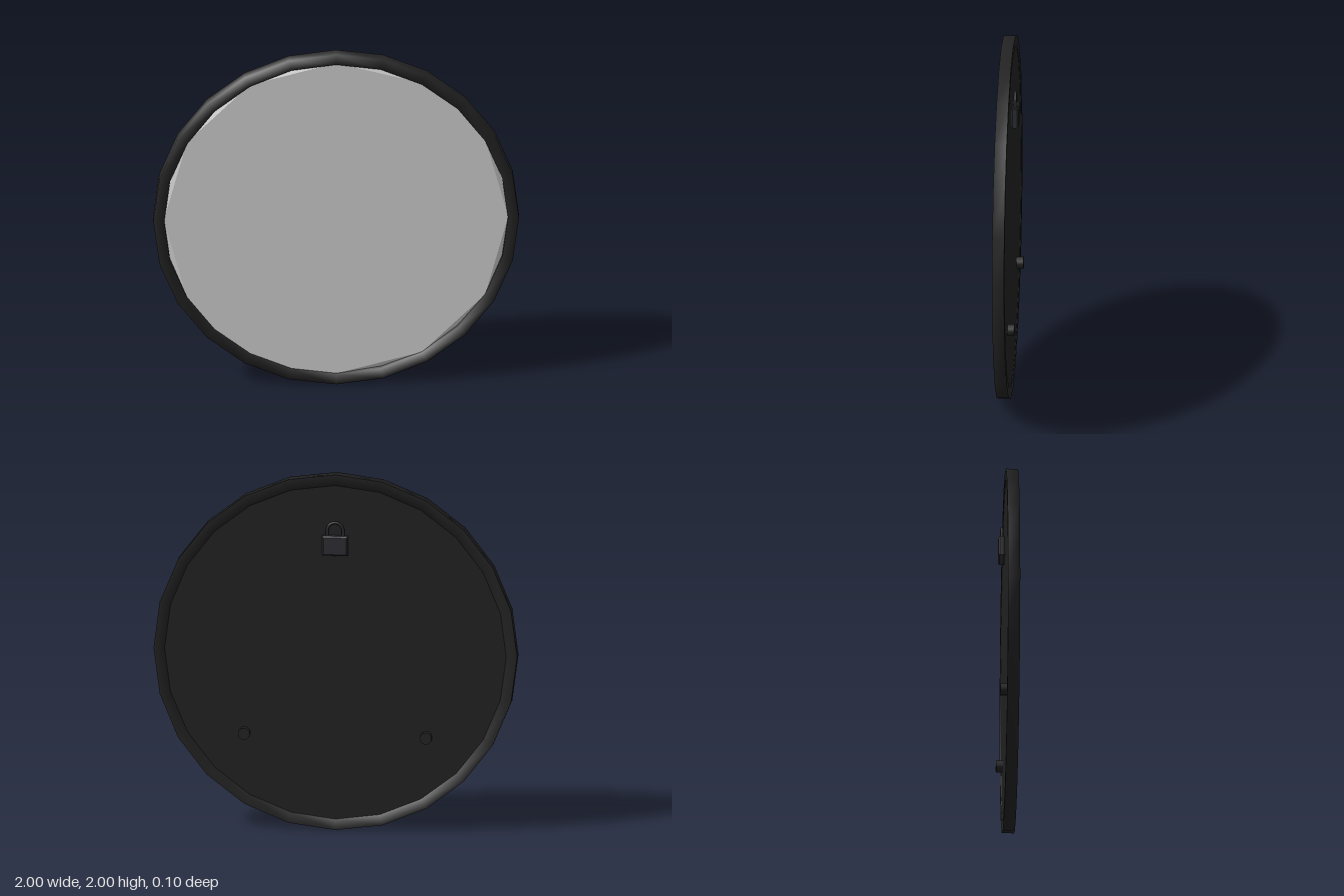
import * as THREE from 'three';

const CY = 1; // height of the disc centre

function add(parent, name, geometry, material, x = 0, y = 0, z = 0) {
  const mesh = new THREE.Mesh(geometry, material);
  mesh.name = name;
  mesh.position.set(x, y, z);
  parent.add(mesh);
  return mesh;
}

// Mirror glass: a 24-point ring whose skipped points drop back behind the chords
function mirrorGeometry(radius, zFront, zBack) {
  const extra = [3, 15, 17];
  const kept = i => i % 2 === 0 || extra.includes(i);
  const point = i => {
    const a = (i % 24) * Math.PI / 12;
    return [radius * Math.cos(a), radius * Math.sin(a), kept(i % 24) ? zFront : zBack];
  };
  const pos = [];
  for (let i = 0; i < 24; i++) {
    if (!kept(i)) continue;
    const next = kept((i + 1) % 24) ? i + 1 : i + 2;
    pos.push(0, 0, zFront, ...point(i), ...point(next));
    if (next === i + 2) pos.push(...point(i), ...point(i + 1), ...point(next));
  }
  const g = new THREE.BufferGeometry();
  g.setAttribute('position', new THREE.Float32BufferAttribute(pos, 3));
  g.computeVertexNormals();
  return g;
}

export function createModel() {
  const group = new THREE.Group();
  group.name = 'roundWallMirror';
  const black = new THREE.MeshStandardMaterial({ color: 0x222222 });
  const backBlack = new THREE.MeshStandardMaterial({ color: 0x202020 });
  const steel = new THREE.MeshStandardMaterial({ color: 0x2c2d32 });
  const glass = new THREE.MeshStandardMaterial({ color: 0xcccccc, side: THREE.DoubleSide });

  // Frame: square section swept round 24 sides
  const section = [[1, -0.018], [1, 0.048], [0.94, 0.048], [0.94, -0.018], [1, -0.018]]
    .map(([r, z]) => new THREE.Vector2(r, z));
  add(group, 'frame', new THREE.LatheGeometry(section, 24).rotateX(Math.PI / 2), black, 0, CY);

  // Glass and backing board
  add(group, 'mirror', mirrorGeometry(0.942, 0.032, 0.012), glass, 0, CY);
  add(group, 'backing', new THREE.CylinderGeometry(0.942, 0.942, 0.014, 24).rotateX(Math.PI / 2),
    backBlack, 0, CY, -0.005);

  // Wall bumpers
  for (const side of [1, -1]) {
    add(group, side > 0 ? 'leftBumper' : 'rightBumper',
      new THREE.CylinderGeometry(0.033, 0.033, 0.04, 12).rotateX(Math.PI / 2),
      black, side * 0.5, 0.535, -0.03);
  }

  // Hanger: plate with bevelled rim and a wire loop
  const hanger = new THREE.Group();
  hanger.name = 'hanger';
  group.add(hanger);
  const w = 0.062, h = 0.047;
  const plate = new THREE.Shape([[-w, -h], [w, -h], [w, h], [-w, h]]
    .map(([x, y]) => new THREE.Vector2(x, y)));
  add(hanger, 'hangerPlate', new THREE.ExtrudeGeometry(plate, {
    depth: 0.024, bevelThickness: 0.008, bevelSize: 0.008, bevelSegments: 1,
  }), steel, 0, 1.605, -0.042);

  const loop = new THREE.CurvePath();
  const v = (x, y) => new THREE.Vector3(x, y, 0);
  const arch = [v(-0.044, 1.64), v(-0.044, 1.69)];
  for (let i = 1; i <= 8; i++) {
    const a = Math.PI * (1 - i / 8);
    arch.push(v(0.044 * Math.cos(a), 1.69 + 0.044 * Math.sin(a)));
  }
  arch.push(v(0.044, 1.64));
  for (let i = 1; i < arch.length; i++) loop.add(new THREE.LineCurve3(arch[i - 1], arch[i]));
  add(hanger, 'hangerLoop', new THREE.TubeGeometry(loop, 24, 0.008, 8), steel, 0, 0, -0.03);

  return group;
}
